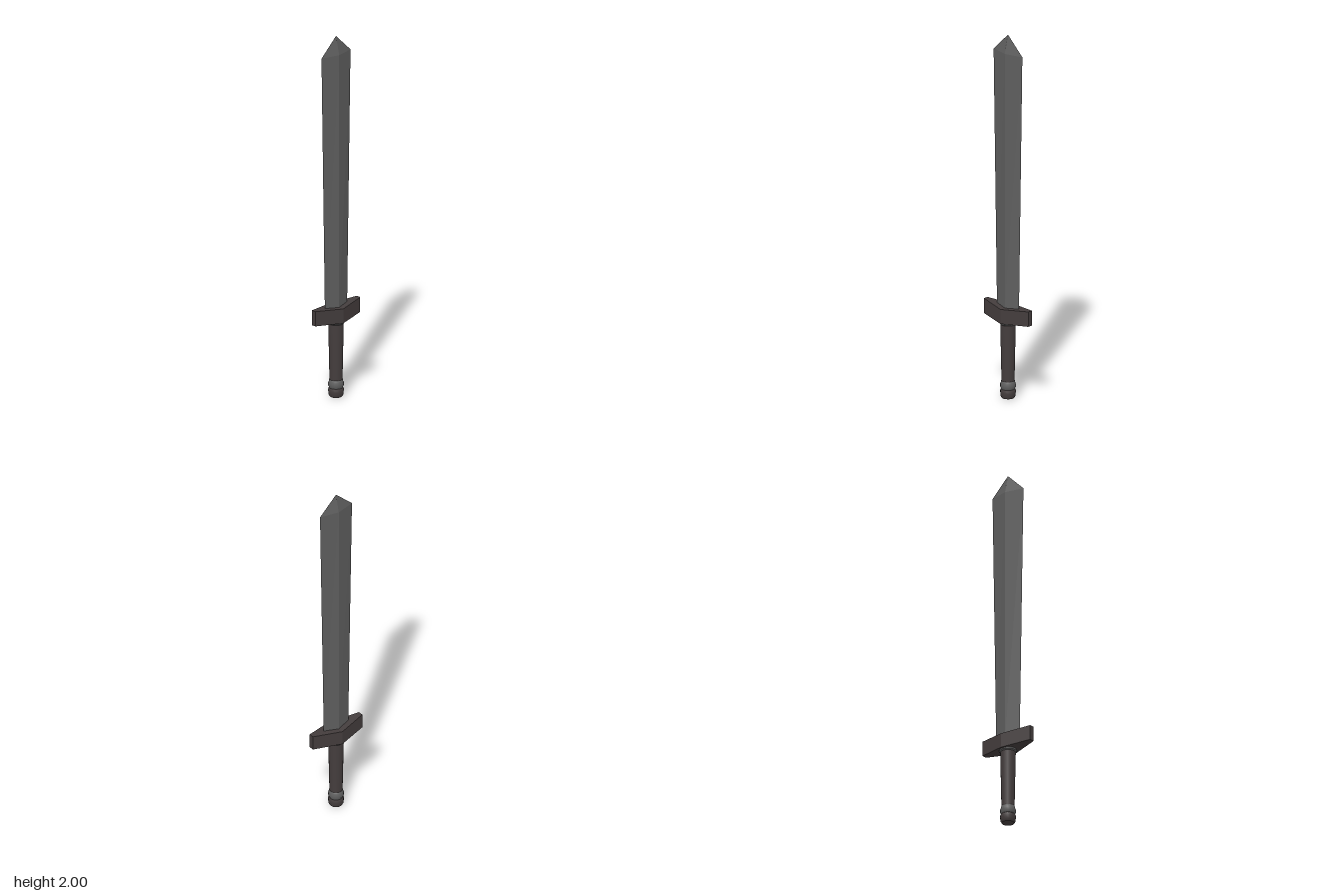
import * as THREE from 'three';

const mat = (name, color) => {
  const m = new THREE.MeshStandardMaterial({ color });
  m.name = name;
  return m;
};

// Stacks rings of corners (counterclockwise from above) into a flat-shaded closed solid
function loft(rings) {
  const n = rings[0].length, pos = [];
  const tri = (a, b, c) => pos.push(...a, ...b, ...c);
  for (let r = 0; r < rings.length - 1; r++) {
    for (let i = 0; i < n; i++) {
      const j = (i + 1) % n, lo = rings[r], hi = rings[r + 1];
      tri(lo[i], lo[j], hi[j]);
      tri(lo[i], hi[j], hi[i]);
    }
  }
  const first = rings[0], last = rings[rings.length - 1];
  for (let i = 1; i < n - 1; i++) {
    tri(first[0], first[i + 1], first[i]);
    tri(last[0], last[i], last[i + 1]);
  }
  const g = new THREE.BufferGeometry();
  g.setAttribute('position', new THREE.Float32BufferAttribute(pos, 3));
  g.computeVertexNormals();
  return g;
}

export function createModel() {
  const group = new THREE.Group();
  const steel = mat('dark steel', 0x5f5f5f);
  const leather = mat('dark brown', 0x443d3d);
  const add = (name, geometry, material) => {
    const mesh = new THREE.Mesh(geometry, material);
    mesh.name = name;
    group.add(mesh);
  };
  const turned = (points) =>
    new THREE.LatheGeometry(points.map(([r, y]) => new THREE.Vector2(r, y)), 20);

  // Blade: diamond section widening upwards, then closing to a point
  const diamond = (y, w, d) => [[w, y, 0], [0, y, -d], [-w, y, 0], [0, y, d]];
  add('blade', loft([
    diamond(0.47, 0.08, 0.024), diamond(1.9, 0.105, 0.024), diamond(2, 0.0005, 0.0005),
  ]), steel);

  // Crossguard: stretched hexagon from above, with slightly raised ends, folded along its middle
  const hexagon = (yEnd, yMid) => [
    [0, yMid, -0.056], [-0.162, yEnd, -0.014], [-0.162, yEnd, 0.014],
    [0, yMid, 0.056], [0.162, yEnd, 0.014], [0.162, yEnd, -0.014],
  ];
  add('crossguard', loft([hexagon(0.43, 0.418), hexagon(0.512, 0.498)]), leather);

  // Collar below the guard
  add('collar', turned([
    [0, 0.402], [0.038, 0.402], [0.038, 0.402], [0.046, 0.412], [0.046, 0.412], [0.046, 0.43],
  ]), steel);

  // Tapered grip
  add('grip', new THREE.CylinderGeometry(0.041, 0.034, 0.34, 20).translate(0, 0.24, 0), leather);

  // Ring around the pommel neck
  add('pommelRing', turned([
    [0.034, 0.045], [0.036, 0.045], [0.037, 0.055], [0.041, 0.06],
    [0.041, 0.077], [0.037, 0.084], [0.036, 0.094], [0.03, 0.094],
  ]), steel);

  // Pommel cap
  add('pommel', turned([
    [0, 0], [0.033, 0], [0.033, 0], [0.04, 0.012], [0.041, 0.03], [0.041, 0.042],
    [0.036, 0.05], [0, 0.05],
  ]), leather);

  return group;
}
